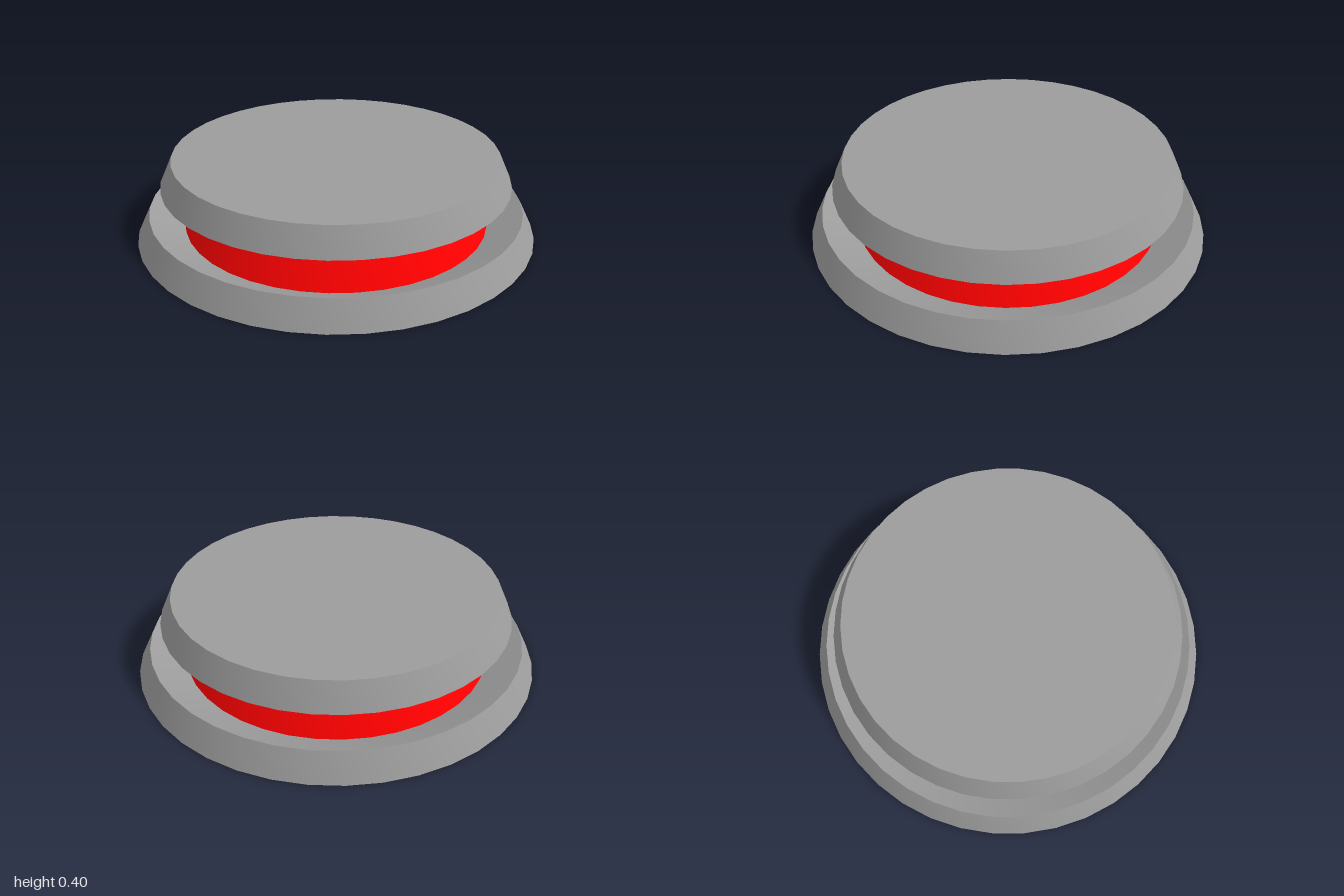
import * as THREE from 'three';
import { toCreasedNormals } from 'three/addons/utils/BufferGeometryUtils.js';

const SIDES = 40;
const GREY = 0x9c9c9c;
const RED = 0xff0000;

// Round part from [radius, height] points listed bottom to top, smooth around and sharp at the rims
function turned(name, color, profile) {
  const points = profile.map(([r, y]) => new THREE.Vector2(r, y));
  const geometry = toCreasedNormals(new THREE.LatheGeometry(points, SIDES), Math.PI / 8);
  const mesh = new THREE.Mesh(geometry, new THREE.MeshStandardMaterial({ color }));
  mesh.name = name;
  return mesh;
}

export function createModel() {
  const group = new THREE.Group();
  group.name = 'roundPad';
  group.add(
    // Tapered base with a rim that dishes inward to the band
    turned('base', GREY, [[0, 0], [1, 0], [0.935, 0.13], [0.765, 0.045]]),
    // Red band set between base and cap
    turned('band', RED, [[0.765, 0.045], [0.695, 0.18]]),
    // Overhanging cap with a sloped underside and flat top
    turned('cap', GREY, [[0.695, 0.18], [0.87, 0.265], [0.81, 0.395], [0, 0.395]]),
  );
  return group;
}
